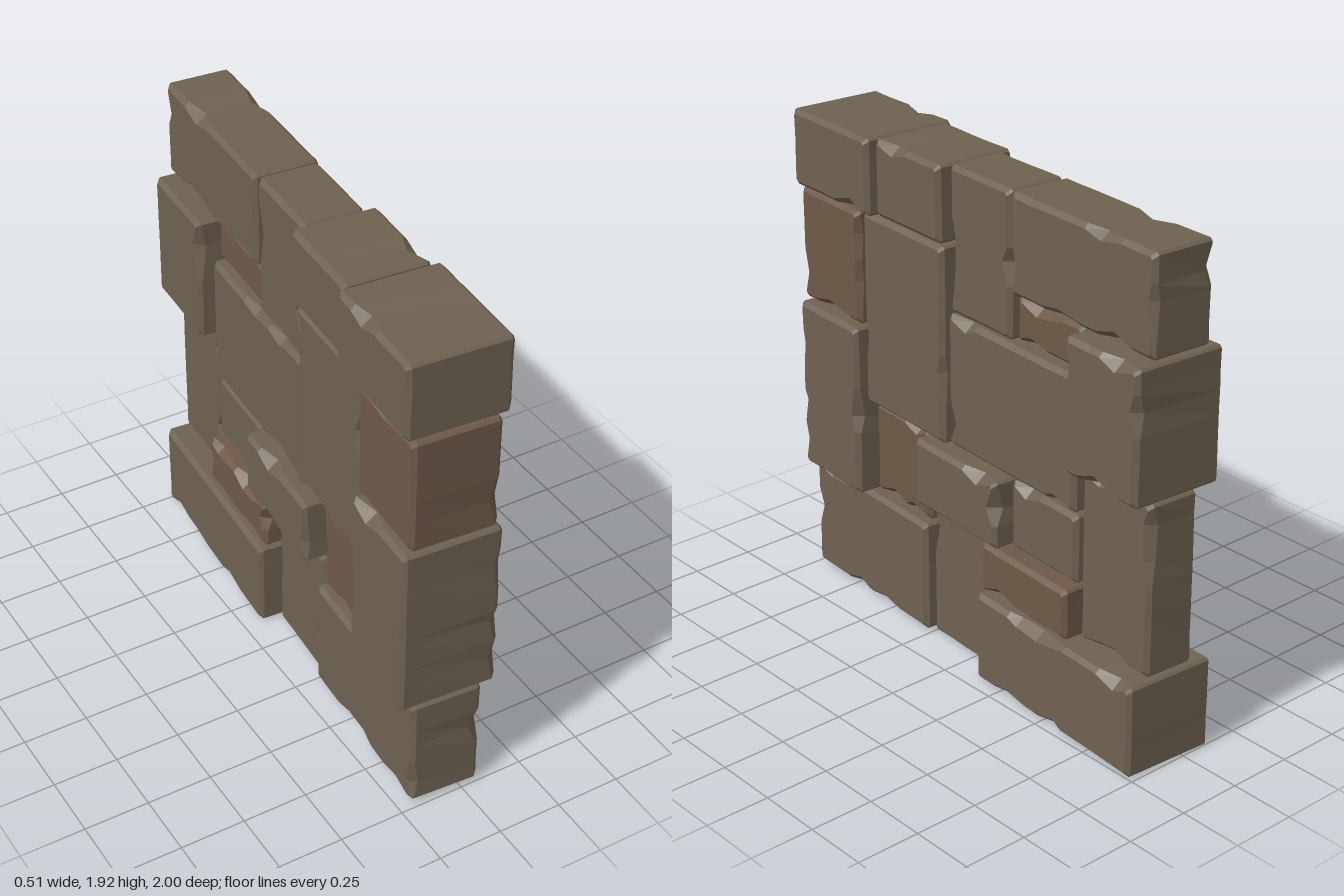
import * as THREE from 'three';

// Small seeded generator for the chipped edges
function seeded(seed) {
  let s = seed * 7919 + 17;
  return () => {
    s = (s * 16807) % 2147483647;
    return s / 2147483647;
  };
}

const stoneColor = 0x6e6251;
const brownColor = 0x6e5948;

// A bevelled stone: four outline loops stacked along x, with random chips in the bevels
function stoneGeometry(width, height, half, seed) {
  const rand = seeded(seed);
  for (let i = 0; i < 5; i++) rand();
  const bevel = 0.016, corner = 0.009;
  const chip = () => (rand() < 0.2 ? 0.012 + 0.022 * rand() : 0.003 * rand());
  const loops = [[], [], [], []];
  const sides = [[1, 0, 0, -1], [0, 1, 1, 0], [-1, 0, 0, 1], [0, -1, -1, 0]]; // tangent, outward normal

  for (const [tu, ty, nu, ny] of sides) {
    const L = (tu ? width : height) / 2;
    const H = (tu ? height : width) / 2;
    const n = Math.max(3, Math.round((2 * L) / 0.09));
    for (let i = 0; i <= n; i++) {
      const end = i === 0 || i === n;
      const t = (2 * (i + (end ? 0 : (rand() - 0.5) * 0.6)) / n - 1) * (L - corner);
      const c = [end ? 0 : chip(), end ? 0 : chip()];
      const put = (loop, x, inset, shrink) => {
        const lim = L - corner - shrink;
        const k = THREE.MathUtils.clamp(t, -lim, lim);
        const u = tu * k + nu * (H - inset);
        const y = ty * k + ny * (H - inset);
        loops[loop].push(new THREE.Vector3(x, y, -u));
      };
      put(0, -half, bevel + c[0], bevel);
      put(1, -half + bevel + c[0], c[0] * 0.3, 0);
      put(2, half - bevel - c[1], c[1] * 0.3, 0);
      put(3, half, bevel + c[1], bevel);
    }
  }

  const pos = [];
  const tri = (...pts) => pts.forEach((p) => pos.push(p.x, p.y, p.z));
  const count = loops[0].length;
  const back = new THREE.Vector3(-half, 0, 0), front = new THREE.Vector3(half, 0, 0);
  for (let i = 0; i < count; i++) {
    const j = (i + 1) % count;
    for (let r = 0; r < 3; r++) {
      const [a, b] = [loops[r], loops[r + 1]];
      tri(a[i], a[j], b[j]);
      tri(a[i], b[j], b[i]);
    }
    tri(back, loops[0][j], loops[0][i]);
    tri(front, loops[3][i], loops[3][j]);
  }
  const geo = new THREE.BufferGeometry();
  geo.setAttribute('position', new THREE.Float32BufferAttribute(pos, 3));
  geo.computeVertexNormals();
  return geo;
}

export function createModel() {
  const wall = new THREE.Group();
  wall.name = 'stoneWall';

  const stone = new THREE.MeshStandardMaterial({ color: stoneColor, flatShading: true });
  const brown = new THREE.MeshStandardMaterial({ color: brownColor, flatShading: true });

  // z front, z back, y bottom, y top, half thickness, brown
  const stones = [
    // top course
    [0.995, 0.515, 1.625, 1.92, 0.195],
    [0.505, 0.12, 1.63, 1.92, 0.165],
    [0.115, -0.23, 1.37, 1.92, 0.12],
    [-0.24, -0.985, 1.55, 1.92, 0.128],
    // middle stones
    [0.995, 0.62, 1.165, 1.61, 0.167, true],
    [0.615, 0.125, 0.85, 1.615, 0.15],
    [0.115, -0.605, 0.855, 1.365, 0.132],
    [-0.245, -0.605, 1.375, 1.54, 0.1, true],
    [-0.61, -0.985, 1.035, 1.535, 0.188],
    [0.995, 0.62, 0.465, 1.15, 0.19],
    [0.61, 0.265, 0.47, 0.84, 0.11, true],
    [0.255, -0.23, 0.575, 0.84, 0.187],
    [-0.24, -0.605, 0.575, 0.84, 0.12],
    [-0.615, -0.975, 0.365, 1.025, 0.105],
    // bottom course
    [0.995, 0.26, 0.01, 0.46, 0.138],
    [0.25, -0.11, 0.005, 0.565, 0.108],
    [-0.12, -0.605, 0.365, 0.56, 0.167, true],
    [-0.12, -0.985, 0, 0.355, 0.188],
  ];

  stones.forEach(([z1, z0, y0, y1, half, isBrown], i) => {
    const geo = stoneGeometry(z1 - z0, y1 - y0, half, i + 3);
    const mesh = new THREE.Mesh(geo, isBrown ? brown : stone);
    mesh.name = (isBrown ? 'brownStone' : 'stone') + (i + 1);
    mesh.position.set(0, (y0 + y1) / 2, (z0 + z1) / 2 - 0.008);
    wall.add(mesh);
  });

  // The wall stands slightly turned
  wall.rotation.y = -0.066;
  const model = new THREE.Group();
  model.name = 'wall';
  model.add(wall);
  return model;
}
